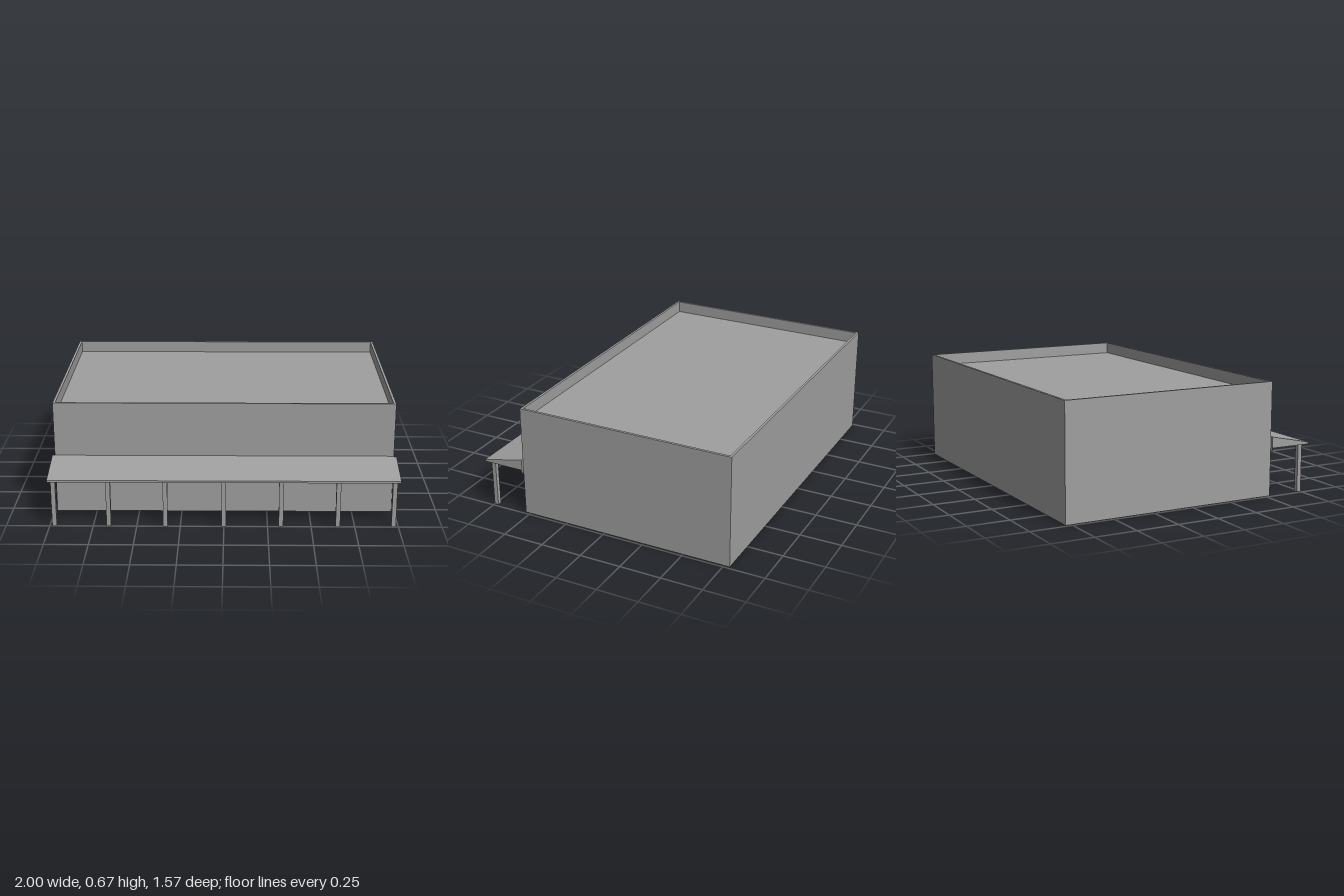
import * as THREE from 'three';

const grey = new THREE.MeshStandardMaterial({ color: 0xa09f9f, side: THREE.DoubleSide });
grey.name = 'plain grey';

// Building outline, parapet and canopy sizes
const X = 0.985, BACK = -0.785, FRONT = 0.53, TOP = 0.67, ROOF = 0.6, RIM = 0.015;
const EAVE = 0.284, RIDGE = 0.35, EDGE = 0.785;

// Flat rectangle facing +z before it is turned
function panel(name, w, h, x, y, z, rx = 0, ry = 0) {
  const mesh = new THREE.Mesh(new THREE.PlaneGeometry(w, h), grey);
  mesh.name = name;
  mesh.position.set(x, y, z);
  mesh.rotation.set(rx, ry, 0);
  return mesh;
}

function box(name, w, h, d, x, y, z) {
  const mesh = new THREE.Mesh(new THREE.BoxGeometry(w, h, d), grey);
  mesh.name = name;
  mesh.position.set(x, y, z);
  return mesh;
}

function createBuilding() {
  const g = new THREE.Group();
  g.name = 'building';
  const depth = FRONT - BACK, midZ = (FRONT + BACK) / 2;
  const inX = X - RIM, inDepth = depth - 2 * RIM;
  const lipH = TOP - ROOF, lipY = (TOP + ROOF) / 2;

  // Thin outer walls, open underneath; the front is open behind the canopy
  g.add(panel('backWall', 2 * X, TOP, 0, TOP / 2, BACK, 0, Math.PI));
  g.add(panel('frontWallLower', 2 * X, EAVE, 0, EAVE / 2, FRONT));
  g.add(panel('frontWallUpper', 2 * X, TOP - RIDGE, 0, (TOP + RIDGE) / 2, FRONT));
  for (const s of [-1, 1]) {
    g.add(panel('sideWall', depth, TOP, s * X, TOP / 2, midZ, 0, s * Math.PI / 2));
    g.add(panel('parapetInnerSide', inDepth, lipH, s * inX, lipY, midZ, 0, -s * Math.PI / 2));
    g.add(panel('parapetInnerEnd', 2 * inX, lipH, 0, lipY, midZ + s * inDepth / 2, 0, s > 0 ? Math.PI : 0));
  }

  // Sunken flat roof
  g.add(panel('roof', 2 * inX, inDepth, 0, ROOF, midZ, -Math.PI / 2));

  // Parapet top ring
  const ring = new THREE.Shape();
  ring.moveTo(-X, -depth / 2).lineTo(X, -depth / 2).lineTo(X, depth / 2).lineTo(-X, depth / 2).closePath();
  const hole = new THREE.Path();
  hole.moveTo(-inX, -inDepth / 2).lineTo(-inX, inDepth / 2).lineTo(inX, inDepth / 2).lineTo(inX, -inDepth / 2).closePath();
  ring.holes.push(hole);
  const cap = new THREE.Mesh(new THREE.ShapeGeometry(ring), grey);
  cap.name = 'parapetTop';
  cap.rotation.x = -Math.PI / 2;
  cap.position.set(0, TOP, midZ);
  g.add(cap);
  return g;
}

function createCanopy() {
  const g = new THREE.Group();
  g.name = 'canopy';
  const run = EDGE - FRONT, lip = EAVE + 0.012, rise = RIDGE - lip, midZ = (EDGE + FRONT) / 2;

  // Sloped roof, narrow fascia and soffit
  g.add(panel('canopyRoof', 2, Math.hypot(run, rise), 0, (RIDGE + lip) / 2, midZ, Math.atan2(rise, run) - Math.PI / 2));
  g.add(panel('canopyFascia', 2, lip - EAVE, 0, (lip + EAVE) / 2, EDGE));
  g.add(panel('canopySoffit', 2, run, 0, EAVE, midZ, Math.PI / 2));

  // Wedge-shaped ends and small tabs against the wall
  const side = new THREE.Shape();
  side.moveTo(-FRONT, EAVE).lineTo(-FRONT, RIDGE).lineTo(-EDGE, lip).lineTo(-EDGE, EAVE).closePath();
  for (const s of [-1, 1]) {
    const end = new THREE.Mesh(new THREE.ShapeGeometry(side), grey);
    end.name = 'canopyEnd';
    end.rotation.y = Math.PI / 2;
    end.position.x = s;
    g.add(end);
    g.add(box('canopyTab', 0.015, RIDGE - 0.264, 0.006, s * 0.9925, (RIDGE + 0.264) / 2, FRONT + 0.003));
  }

  // Row of square posts
  for (const x of [-0.972, -0.66, -0.335, 0, 0.327, 0.653, 0.972]) {
    g.add(box('post', 0.026, EAVE, 0.026, x, EAVE / 2, 0.738));
  }
  return g;
}

export function createModel() {
  const model = new THREE.Group();
  model.name = 'warehouse';
  model.add(createBuilding(), createCanopy());
  return model;
}
